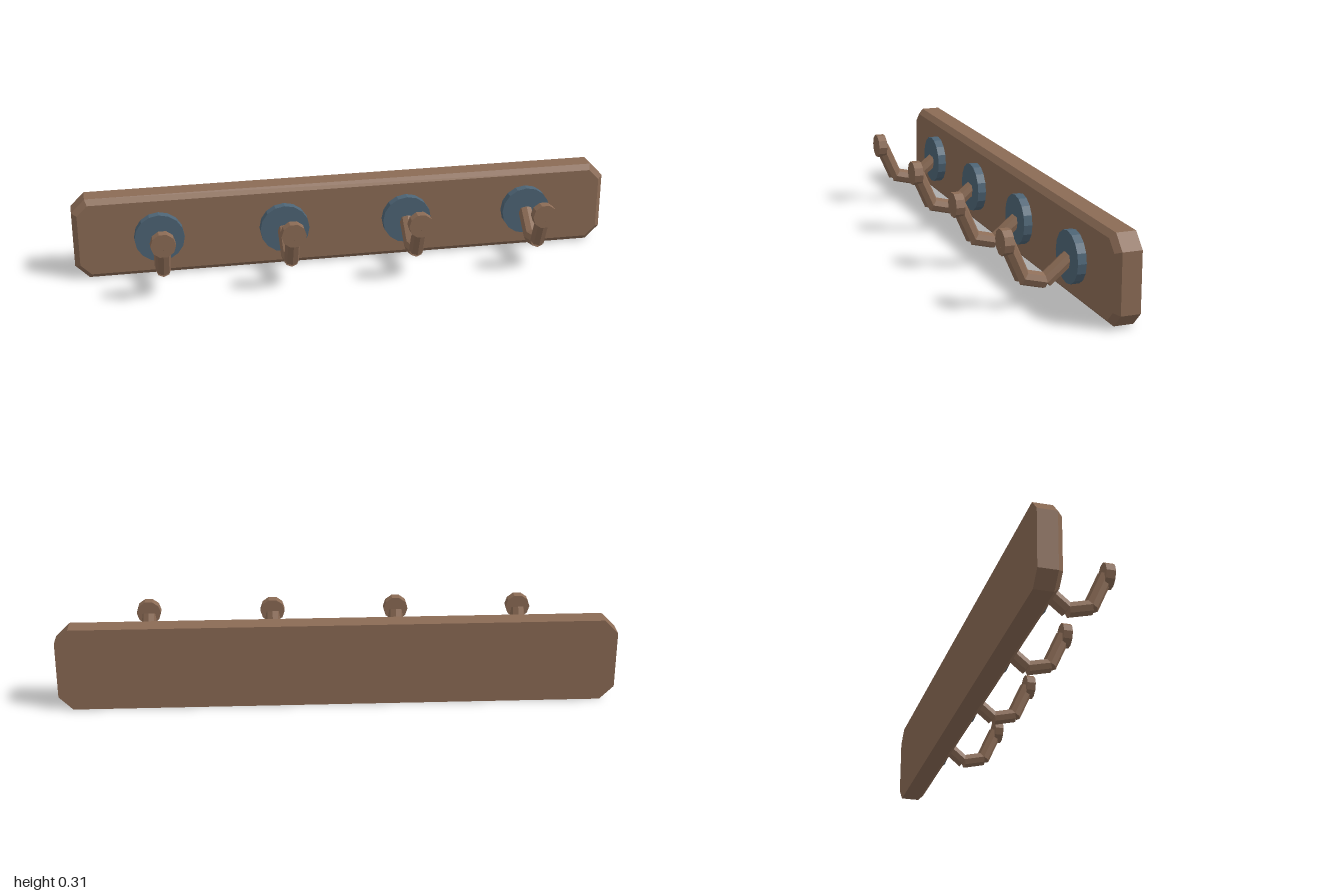
import * as THREE from 'three';

const HALF_X = 1, HEIGHT = 0.31, CUT = 0.05, BEVEL = 0.019;
const BACK_Z = -0.178, EDGE_Z = -0.109, FRONT_Z = -0.09;

function material(name, color) {
  const m = new THREE.MeshStandardMaterial({ color });
  m.name = name;
  return m;
}

// Octagonal plank with a bevel round its front edge only
function boardGeometry() {
  const a = HALF_X, b = HEIGHT / 2;
  const outline = new THREE.Shape([
    [a, -b + CUT], [a, b - CUT], [a - CUT, b], [-a + CUT, b],
    [-a, b - CUT], [-a, -b + CUT], [-a + CUT, -b], [a - CUT, -b],
  ].map(([x, y]) => new THREE.Vector2(x, y)));
  const g = new THREE.ExtrudeGeometry(outline, { depth: 2, steps: 2, bevelEnabled: false });
  const p = g.attributes.position;
  const slide = BEVEL * Math.tan(Math.PI / 8);
  for (let i = 0; i < p.count; i++) {
    const layer = Math.round(p.getZ(i));
    const x = p.getX(i), y = p.getY(i);
    if (layer === 2) {
      const onEnd = Math.abs(x) > a - 0.001;
      p.setX(i, x - Math.sign(x) * (onEnd ? BEVEL : slide));
      p.setY(i, y - Math.sign(y) * (onEnd ? slide : BEVEL));
    }
    p.setZ(i, [BACK_Z, EDGE_Z, FRONT_Z][layer]);
  }
  g.computeVertexNormals();
  return g.translate(0, b, 0);
}

// Faceted rod between two points
function rod(from, to, radius, sides, mat, name) {
  const dir = to.clone().sub(from);
  const mesh = new THREE.Mesh(new THREE.CylinderGeometry(radius, radius, dir.length(), sides), mat);
  mesh.position.copy(from).add(to).multiplyScalar(0.5);
  mesh.quaternion.setFromUnitVectors(new THREE.Vector3(0, 1, 0), dir.normalize());
  mesh.name = name;
  return mesh;
}

export function createModel() {
  const wood = material('brown wood', 0x8b6b55);
  const steel = material('blue grey metal', 0x4d6475);
  wood.flatShading = steel.flatShading = true;

  const model = new THREE.Group();
  model.name = 'coatRack';
  const board = new THREE.Mesh(boardGeometry(), wood);
  board.name = 'board';
  model.add(board);

  const at = (y, z) => new THREE.Vector3(0, y, z);
  // Hook arm path, from the plate outwards
  const path = [at(0.157, -0.068), at(0.086, 0.018), at(0.106, 0.098), at(0.227, 0.151)];

  for (const x of [-0.69, -0.23, 0.23, 0.69]) {
    const hook = new THREE.Group();
    hook.name = 'hook';
    hook.position.x = x;
    hook.add(rod(at(0.157, -0.092), at(0.157, -0.059), 0.091, 16, steel, 'mountingPlate'));
    for (let i = 0; i < path.length - 1; i++) {
      hook.add(rod(path[i], path[i + 1], 0.027, 8, wood, 'hookArm'));
    }
    // Ten-sided end knob, with corners at its left and right
    const knobGeometry = new THREE.CylinderGeometry(0.045, 0.045, 0.033, 10);
    knobGeometry.rotateY(Math.PI / 2).rotateX(Math.PI / 2);
    const knob = new THREE.Mesh(knobGeometry, wood);
    knob.name = 'knob';
    knob.position.set(0, 0.2325, 0.1585);
    hook.add(knob);
    model.add(hook);
  }
  return model;
}
